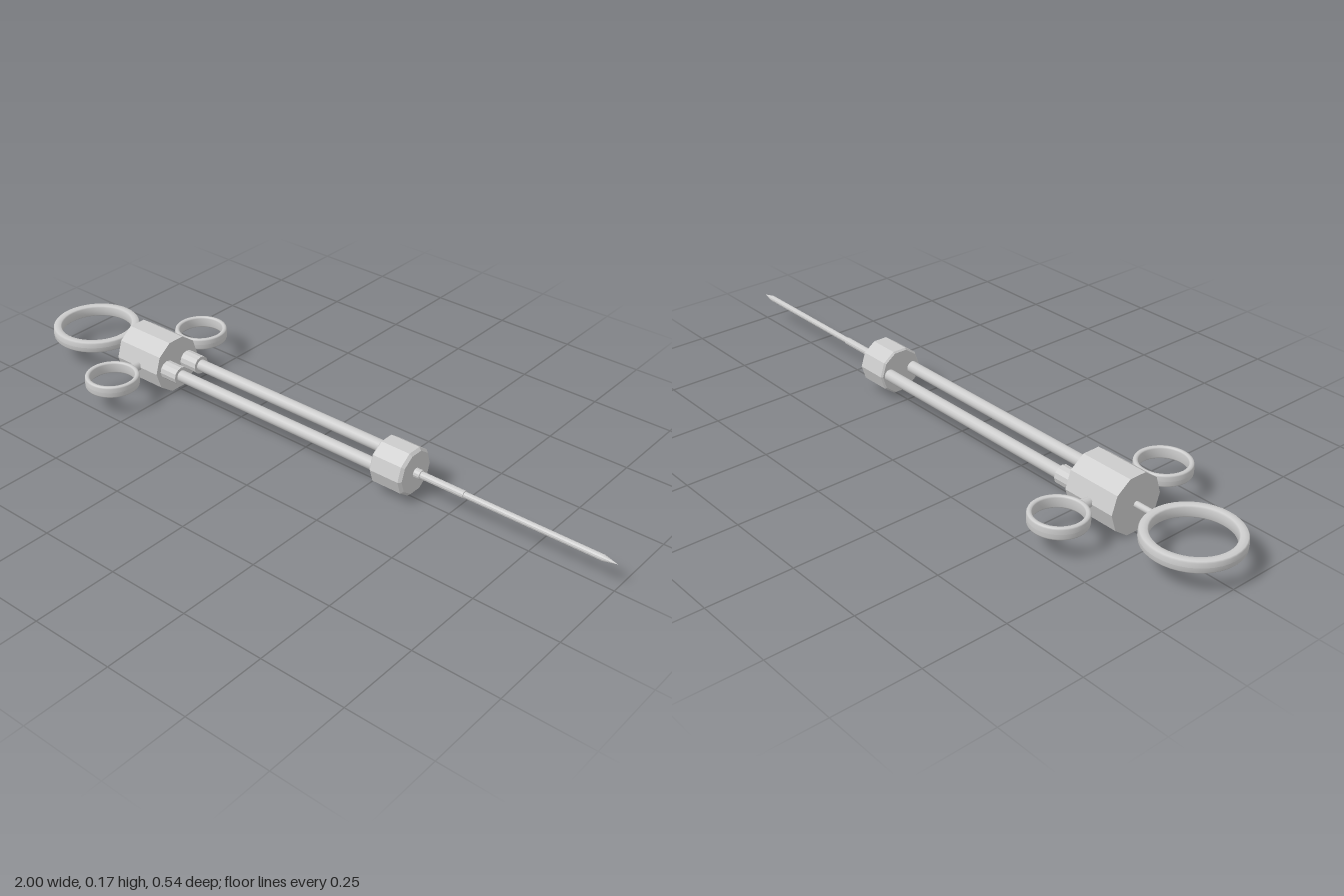
import * as THREE from 'three';

const AXIS_Y = 0.085;

export function createModel() {
  const model = new THREE.Group();
  const smooth = new THREE.MeshStandardMaterial({ color: 0xcccccc });
  const faceted = new THREE.MeshStandardMaterial({ color: 0xcccccc, flatShading: true });

  const add = (name, geometry, material, x = 0, z = 0) => {
    const mesh = new THREE.Mesh(geometry, material);
    mesh.name = name;
    mesh.position.set(x, AXIS_Y, z);
    model.add(mesh);
    return mesh;
  };

  // Solid turned about the x axis; points are [x, radius] from back to front
  const turned = (name, points, sides, material, z = 0) => {
    const geometry = new THREE.LatheGeometry(points.map(([x, r]) => new THREE.Vector2(r, x)), sides);
    geometry.rotateZ(-Math.PI / 2);
    return add(name, geometry, material, 0, z);
  };

  // Flat-lying finger ring with a tall, softly bevelled section
  const ring = (name, x, z, outer, inner, height) => {
    const mid = (outer + inner) / 2, w = (outer - inner) / 2, h = height / 2;
    const section = [];
    for (let i = 0; i <= 12; i++) {
      const a = (i / 12) * Math.PI * 2;
      const c = Math.cos(a), s = Math.sin(a);
      section.push(new THREE.Vector2(
        mid + w * Math.sign(c) * Math.sqrt(Math.abs(c)),
        h * Math.sign(s) * Math.sqrt(Math.abs(s))));
    }
    return add(name, new THREE.LatheGeometry(section, 40), smooth, x, z);
  };

  // Ten-sided handle body and front collar
  turned('handleBody', [[-0.675, 0], [-0.675, 0.087], [-0.51, 0.087], [-0.51, 0]], 10, faceted);
  turned('frontCollar', [
    [0.28, 0], [0.28, 0.066], [0.285, 0.071], [0.378, 0.071], [0.386, 0.063], [0.386, 0],
  ], 10, faceted);

  // Twin rods with sockets, finger rings and their stems
  for (const side of [1, -1]) {
    const label = side > 0 ? 'front' : 'back';
    turned(label + 'Rod', [[-0.52, 0.018], [0.285, 0.018]], 16, smooth, side * 0.042);
    turned(label + 'RodSocket', [[-0.515, 0], [-0.515, 0.028], [-0.45, 0.028], [-0.45, 0]],
      12, faceted, side * 0.042);

    ring(label + 'FingerRing', -0.592, side * 0.189, 0.081, 0.066, 0.036);
    const stem = new THREE.CylinderGeometry(0.017, 0.013, 0.045, 12);
    stem.rotateX(side * Math.PI / 2);
    add(label + 'FingerStem', stem, smooth, -0.592, side * 0.094);
  }

  // Thumb ring and plunger stem
  ring('thumbRing', -0.865, 0, 0.135, 0.108, 0.036);
  turned('plungerStem', [[-0.74, 0.009], [-0.67, 0.009]], 12, smooth);

  // Needle hub, sleeve and pointed needle
  turned('needleHub', [[0.38, 0.014], [0.405, 0.014], [0.41, 0]], 12, faceted);
  turned('needleSleeve', [[0.4, 0.011], [0.545, 0.011], [0.548, 0]], 12, faceted);
  turned('needle', [[0.54, 0.009], [0.96, 0.009], [1, 0]], 12, faceted);

  // Stand the lowest facets on the ground
  const bounds = new THREE.Box3().setFromObject(model, true);
  model.children.forEach((part) => { part.position.y -= bounds.min.y; });
  return model;
}
